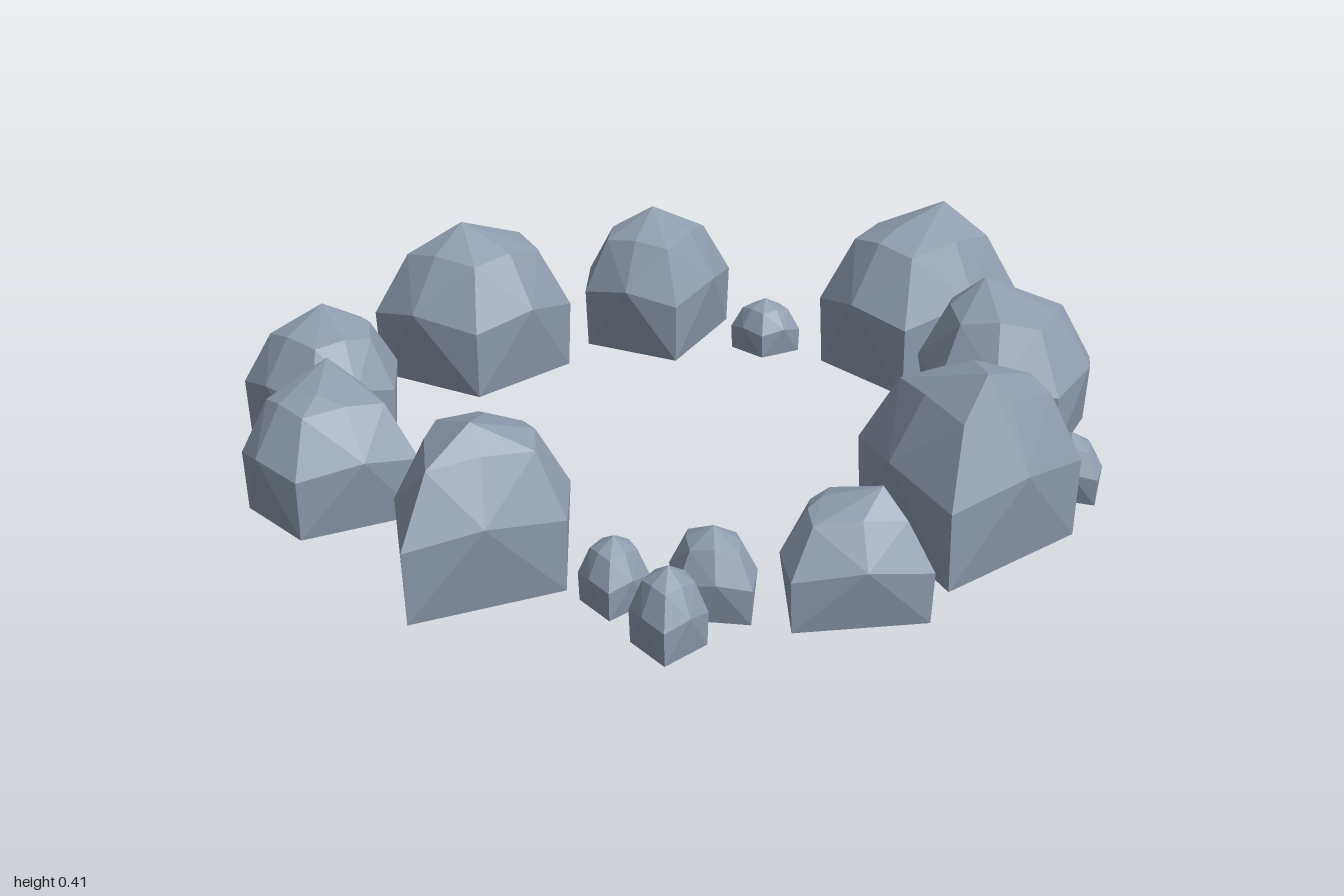
import * as THREE from 'three';
import { ConvexGeometry } from 'three/addons/geometries/ConvexGeometry.js';

const stone = new THREE.MeshStandardMaterial({ color: 0x8f9cae, flatShading: true });
stone.name = 'blueGreyStone';

// Faceted hull grown from four ground corners [x, z, x, z, ...] and a summit
function boulder(name, corners, summit) {
  const peak = new THREE.Vector3(...summit);
  const height = peak.y;
  const feet = [0, 2, 4, 6].map((i) => new THREE.Vector3(corners[i], 0, corners[i + 1]));
  const centre = new THREE.Vector3();
  feet.forEach((foot) => centre.addScaledVector(foot, 0.25));

  // A slightly lower second summit lies across the centre from the first
  const second = peak.clone().lerp(centre, 1.5).setY(height * 0.9);
  const crown = peak.clone().lerp(second, 0.5);
  const points = [peak, second];
  const add = (point, target, inset, level) =>
    points.push(point.clone().lerp(target, inset).setY(height * level));

  feet.forEach((foot, i) => {
    // Corner: foot, waist and shoulder
    add(foot, centre, 0.03, 0);
    add(foot, centre, 0, 0.42);
    add(foot, crown, 0.34, 0.8);
    // Side between two corners: bulging waist and shoulder
    const side = foot.clone().lerp(feet[(i + 1) % 4], 0.5).lerp(centre, -0.2);
    add(side, centre, 0, 0.5);
    add(side, crown, 0.38, 0.84);
  });

  const mesh = new THREE.Mesh(new ConvexGeometry(points), stone);
  mesh.name = name;
  return mesh;
}

// Small stone: an uneven four-cornered footprint around a point
function pebble(name, x, z, radius, height, turn) {
  const corners = [0, 1, 2, 3].flatMap((i) => {
    const angle = turn + (i * Math.PI) / 2;
    const reach = radius * (i % 2 ? 0.82 : 1);
    return [x + reach * Math.cos(angle), z + reach * Math.sin(angle)];
  });
  return boulder(name, corners, [x, height, z]);
}

export function createModel() {
  const model = new THREE.Group();
  model.name = 'stoneRing';
  model.add(
    // Large boulders around the ring
    boulder('backBoulder', [0.11, -1, 0.12, -0.56, -0.2, -0.59, -0.22, -0.91], [-0.04, 0.41, -0.87]),
    boulder('backLeftBoulder', [0.5, -0.79, 0.62, -0.52, 0.4, -0.36, 0.19, -0.56], [0.36, 0.37, -0.56]),
    boulder('leftBoulder', [0.66, -0.28, 0.88, -0.26, 0.88, 0.14, 0.49, -0.01], [0.82, 0.4, -0.02]),
    boulder('leftFrontBoulder', [0.68, 0.21, 0.94, 0.25, 0.79, 0.48, 0.65, 0.35], [0.82, 0.25, 0.27]),
    boulder('frontLeftBoulder', [0.17, 0.57, 0.38, 0.68, 0.29, 1, -0.01, 0.76], [0.27, 0.36, 0.82]),
    boulder('frontBoulder', [-0.4, 0.7, -0.1, 0.7, -0.16, 0.96, -0.38, 0.96], [-0.33, 0.31, 0.77]),
    boulder('frontRightBoulder', [-0.69, 0.42, -0.47, 0.52, -0.5, 0.72, -0.75, 0.75], [-0.65, 0.31, 0.59]),
    boulder('rightBoulder', [-0.92, -0.12, -0.61, -0.1, -0.57, 0.22, -0.88, 0.31], [-0.76, 0.39, 0.12]),
    boulder('backRightBoulder', [-0.6, -0.64, -0.44, -0.31, -0.7, -0.22, -0.82, -0.42], [-0.66, 0.35, -0.42]),
    // Small stones in the gaps
    pebble('frontLeftStone', 0.61, 0.51, 0.11, 0.17, 0),
    pebble('innerStone', 0.47, 0.64, 0.085, 0.14, 0.8),
    pebble('outerStone', 0.665, 0.67, 0.09, 0.16, 0.8),
    pebble('backRightStone', -0.36, -0.55, 0.09, 0.14, -0.7),
    pebble('backLeftStone', 0.735, -0.42, 0.09, 0.14, 0.2),
  );
  return model;
}
